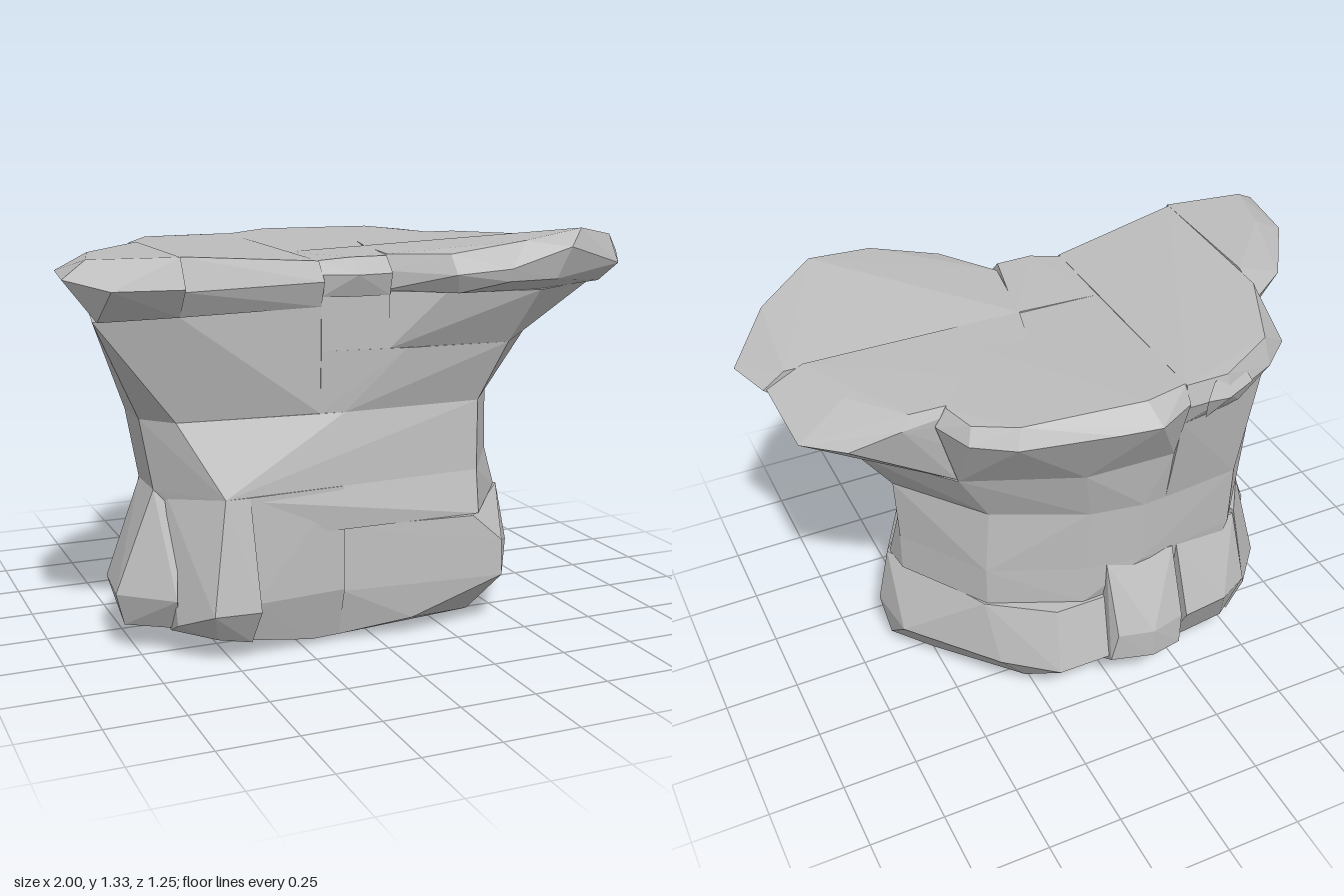
import * as THREE from 'three';
import { ConvexGeometry } from 'three/addons/geometries/ConvexGeometry.js';

const stone = new THREE.MeshStandardMaterial({ color: 0xbcbcbc });
stone.name = 'stone grey';

// faceted block wrapped around flat outlines: [height, [x, z, optional own height], ...]
function block(name, ...rings) {
  const pts = [];
  for (const [y, ...outline] of rings)
    for (const [x, z, h] of outline) pts.push(new THREE.Vector3(x, h ?? y, z));
  const mesh = new THREE.Mesh(new ConvexGeometry(pts), stone);
  mesh.name = name;
  return mesh;
}

export function createModel() {
  const g = new THREE.Group();
  g.name = 'rockStump';

  // waist outlines, shared by neighbouring courses
  const waistTop = [[-0.73, 0.22], [-0.64, 0.32], [-0.1, 0.37], [0.38, 0.36], [0.53, 0.13], [0.59, 0.0],
    [0.37, -0.28], [0.08, -0.42], [-0.1, -0.45], [-0.45, -0.42], [-0.64, -0.2], [-0.73, 0.05]];
  const waistLow = [[-0.69, 0.22], [-0.52, 0.43], [-0.12, 0.4], [0.37, 0.38], [0.54, 0.12], [0.58, 0.0],
    [0.39, -0.29], [0.08, -0.42], [-0.1, -0.45], [-0.45, -0.41], [-0.61, -0.2], [-0.69, 0.05]];
  const collar = [[-0.18, 0.37], [0.1, 0.41], [0.45, 0.43], [0.73, 0.08], [0.72, -0.05],
    [0.48, -0.32], [0.12, -0.47], [-0.18, -0.48]];
  g.add(block('waist', [0.76, ...waistTop], [0.53, ...waistLow]));
  g.add(block('lowerWaist', [0.53, ...waistLow],
    [0.39, [-0.66, 0.2], [-0.5, 0.42], [-0.12, 0.4], [0.36, 0.42], [0.59, 0.1], [0.58, 0], [0.39, -0.29],
      [0.1, -0.42], [-0.4, -0.4], [-0.6, -0.15]]));

  // flaring neck
  g.add(block('neckRight', [0.96, ...collar],
    [0.76, ...waistTop.filter(([x]) => x > -0.2), [-0.18, 0.36], [-0.18, -0.445]]));
  g.add(block('neckLeft',
    [1.1, [-0.65, 0.41], [-0.18, 0.37], [-0.18, -0.52], [-0.36, -0.49], [-0.56, -0.37], [-0.65, -0.2]],
    [0.76, ...waistTop.filter(([x]) => x < -0.2 && x > -0.7), [-0.66, 0.1], [-0.18, 0.36], [-0.18, -0.445]]));
  g.add(block('neckLeftWing',
    [1.1, [-0.91, 0.41], [-0.87, 0.2], [-0.65, -0.12], [-0.65, 0.41]],
    [0.76, [-0.73, 0.22], [-0.73, 0.05], [-0.64, -0.08], [-0.64, 0.32]]));
  g.add(block('neckFront',
    [1.14, [0.04, 0.39], [0.2, 0.48], [0.5, 0.54], [0.76, 0.4], [0.92, 0.2], [0.88, 0.06], [0.04, 0.06],
      [0.48, 0.5, 1.1], [0.85, 0.2, 1.09]],
    [0.96, [0.04, 0.4], [0.45, 0.43], [0.73, 0.08], [0.72, 0.06], [0.04, 0.06]]));
  g.add(block('neckMiddle',
    [1.14, [-0.18, 0.37], [0.04, 0.4], [0.1, 0.06], [-0.18, 0.06]],
    [0.96, [-0.18, 0.37], [0.04, 0.4], [0.1, 0.06], [-0.18, 0.06]]));

  // overhanging top ledges
  g.add(block('ledgeLeft',
    [1.28, [-0.92, 0.4], [-0.65, 0.44], [-0.65, -0.05], [-0.87, 0.2]],
    [1.23, [-1, 0.44], [-0.97, 0.2], [-0.8, -0.06], [-0.65, -0.17], [-0.65, 0.49, 1.19], [-0.88, 0.53, 1.2]],
    [1.1, [-0.9, 0.43], [-0.87, 0.2], [-0.65, -0.1], [-0.65, 0.42]]));
  g.add(block('ledgeMiddleLeft',
    [1.27, [-0.65, 0.43, 1.28], [-0.65, -0.14, 1.27], [-0.52, -0.42, 1.26], [-0.32, -0.53, 1.25],
      [-0.18, -0.53, 1.25], [-0.18, 0.35, 1.24]],
    [1.18, [-0.65, 0.47], [-0.18, 0.4], [-0.18, -0.55], [-0.33, -0.55], [-0.52, -0.46], [-0.63, -0.36], [-0.65, -0.17]],
    [1.1, [-0.65, 0.42], [-0.18, 0.37], [-0.18, -0.52], [-0.4, -0.48], [-0.56, -0.36]]));
  g.add(block('ledgeBackLump', [1.24, [-0.27, -0.54], [-0.4, -0.48]],
    [1.19, [-0.24, -0.56], [-0.31, -0.57], [-0.42, -0.52], [-0.4, -0.4]], [1.1, [-0.26, -0.52], [-0.38, -0.47]]));
  g.add(block('ledgeBack',
    [1.26, [-0.18, -0.52, 1.25], [-0.03, -0.56], [0.36, -0.52], [0.48, -0.44, 1.25], [0.51, -0.33, 1.25],
      [0.4, 0.06, 1.25], [-0.18, 0.06, 1.24]],
    [1.2, [-0.18, -0.56], [-0.05, -0.63], [0.08, -0.61], [0.38, -0.55], [0.5, -0.47], [0.55, -0.34]],
    [0.96, [-0.18, -0.48], [0.12, -0.47], [0.48, -0.32], [0.5, 0.06], [-0.18, 0.06]]));
  g.add(block('ledgeRight',
    [1.25, [0.2, -0.33], [0.62, -0.31], [0.76, -0.15], [0.82, 0.06, 1.26], [0.1, 0.06]],
    [1.15, [0.3, -0.33], [0.65, -0.33, 1.21], [0.8, -0.27, 1.14], [0.92, -0.17, 1.14], [0.94, 0.06, 1.2]],
    [1.11, [0.78, -0.2], [0.88, -0.13], [0.88, 0.06, 1.13]],
    [0.96, [0.3, -0.32], [0.48, -0.31], [0.72, -0.05], [0.72, 0.06], [0.2, 0.06]]));
  g.add(block('ledgeFront',
    [1.28, [0.1, 0.06, 1.25], [0.88, 0.06, 1.25], [0.85, 0.38, 1.29], [0.64, 0.54, 1.33], [0.42, 0.57, 1.3],
      [0.2, 0.5, 1.26], [0.06, 0.33, 1.25]],
    [1.2, [0.95, 0.06], [1, 0.2, 1.21], [0.85, 0.44], [0.56, 0.62, 1.28], [0.35, 0.62, 1.22], [0.2, 0.55], [0.04, 0.35]],
    [1.14, [0.04, 0.06], [0.04, 0.36], [0.22, 0.52], [0.35, 0.61, 1.18], [0.52, 0.6, 1.18], [0.5, 0.52], [0.8, 0.4],
      [0.91, 0.2], [0.88, 0.06]]));
  g.add(block('ledgeMiddle',
    [1.25, [-0.18, 0.06, 1.24], [0.11, 0.06], [0.04, 0.37], [-0.08, 0.37], [-0.18, 0.34, 1.24]],
    [1.2, [-0.18, 0.38], [-0.08, 0.43], [0.04, 0.42]],
    [1.13, [-0.18, 0.37], [-0.08, 0.4], [0.04, 0.4], [0.11, 0.06], [-0.18, 0.06]]));

  // base: large right foot, with smaller roots around the left and back
  g.add(block('footRight',
    [0.39, [-0.12, 0.4], [0.33, 0.44], [0.6, 0.1], [0.4, -0.29], [0.2, -0.43], [0.02, -0.43], [-0.12, -0.4]],
    [0.18, [-0.12, 0.41], [0.43, 0.455, 0.3], [0.43, 0.46], [0.64, 0.11], [0.62, -0.08], [0.38, -0.37],
      [0.22, -0.5], [0.02, -0.5], [-0.12, -0.42]],
    [0.05, [0.12, 0.42, 0.06], [-0.12, 0.37, 0.02], [0.38, 0.31, 0.02], [0.62, 0.07, 0.04], [0.5, -0.03, 0],
      [0.28, -0.34], [0, -0.38], [-0.12, -0.34]]));
  g.add(block('footFront',
    [0.53, [-0.44, 0.43], [-0.12, 0.41], [-0.12, -0.2], [-0.44, -0.2]],
    [0.19, [-0.44, 0.45], [-0.3, 0.43], [-0.12, 0.42]],
    [0.05, [-0.44, 0.41, 0.06], [-0.22, 0.38, 0.02], [-0.12, 0.37, 0.02], [-0.12, -0.34], [-0.44, -0.3, 0.07]]));
  g.add(block('footFrontLeft',
    [0.53, [-0.66, 0.24], [-0.52, 0.43], [-0.44, 0.43], [-0.44, -0.2], [-0.6, -0.15]],
    [0.18, [-0.66, 0.36, 0.12], [-0.58, 0.49], [-0.43, 0.5]],
    [0.08, [-0.66, 0.28], [-0.55, 0.42], [-0.44, 0.43, 0.06], [-0.44, -0.2], [-0.62, -0.1]]));
  g.add(block('rootLeft',
    [0.53, [-0.69, 0.22], [-0.69, 0.05], [-0.63, -0.08], [-0.62, 0.25]],
    [0.2, [-0.82, 0.22], [-0.8, 0.02], [-0.71, -0.1], [-0.66, 0.36]],
    [0.09, [-0.79, 0.2], [-0.76, 0.03], [-0.64, -0.1], [-0.64, 0.3]]));
  g.add(block('rootBackLeft',
    [0.53, [-0.6, -0.22], [-0.65, -0.08], [-0.5, -0.37], [-0.45, -0.1]],
    [0.25, [-0.68, -0.12], [-0.64, -0.3], [-0.52, -0.44]],
    [0.08, [-0.64, -0.14], [-0.6, -0.28], [-0.5, -0.38], [-0.4, -0.1]]));
  g.add(block('rootBackMiddle',
    [0.53, [-0.49, -0.38], [-0.24, -0.43], [-0.3, -0.1]],
    [0.28, [-0.51, -0.45], [-0.4, -0.51], [-0.24, -0.53]],
    [0.07, [-0.47, -0.39], [-0.23, -0.42], [-0.3, -0.1]]));
  g.add(block('rootBack',
    [0.53, [-0.22, -0.44], [0.02, -0.43], [0, -0.1], [-0.18, -0.1]],
    [0.29, [-0.22, -0.53], [-0.1, -0.56], [0.02, -0.53]],
    [0.18, [-0.21, -0.54], [-0.1, -0.56], [0.04, -0.52]],
    [0.06, [-0.19, -0.4], [0.02, -0.38], [0, -0.1]]));
  return g;
}
